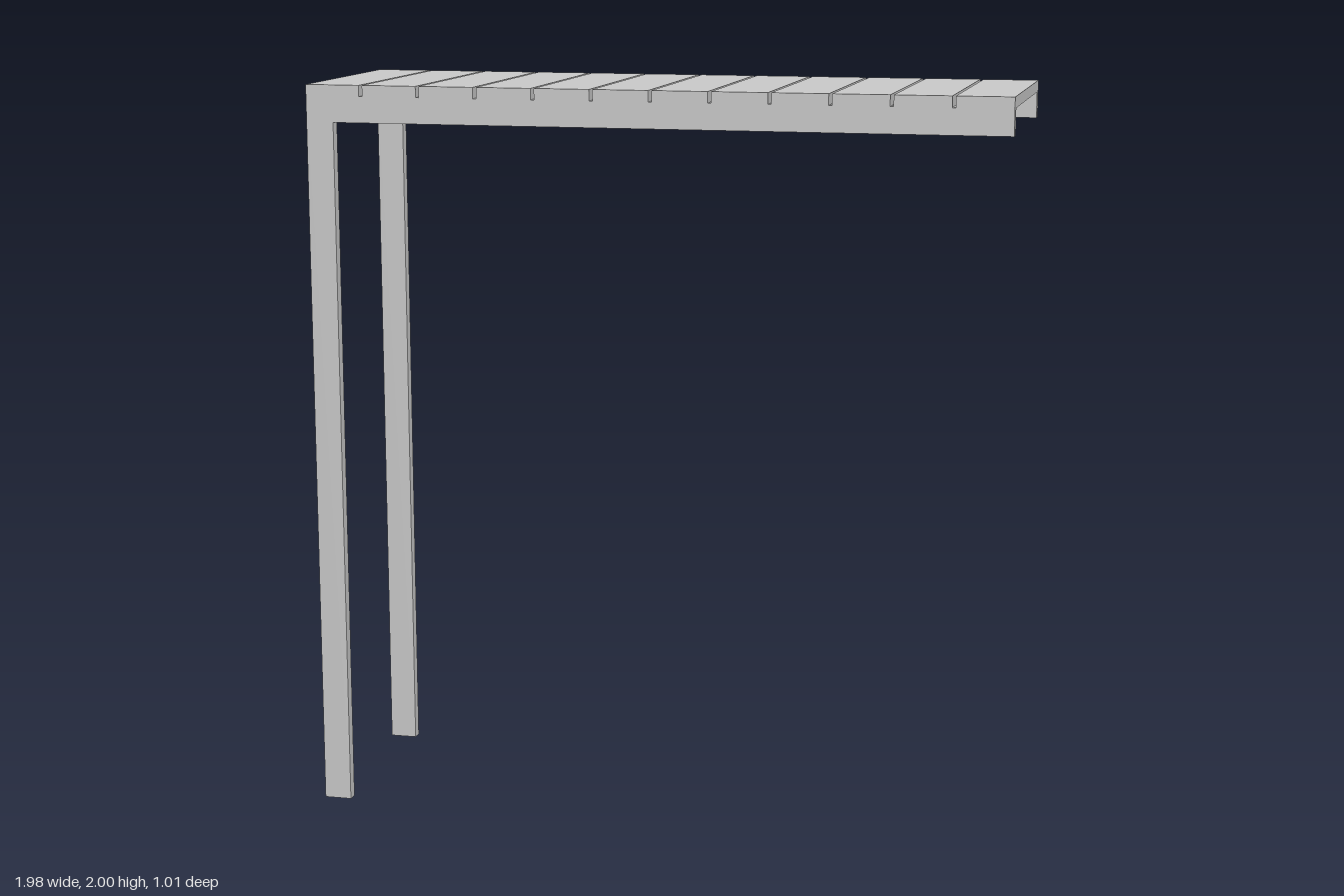
import * as THREE from 'three';

const LENGTH = 1.892, WIDTH = 0.6, HEIGHT = 2;
const PLANK_T = 0.03, PLANKS = 12, GAP = 0.009;
const FRAME_T = 0.03, RAIL_BOTTOM = 1.9, LEG_W = 0.075;

export function createModel() {
  const model = new THREE.Group();
  model.name = 'slattedTable';
  const material = new THREE.MeshStandardMaterial({ color: 0xcccccc, flatShading: true });

  // The whole table stands at a slight turn
  const table = new THREE.Group();
  table.name = 'table';
  table.rotation.y = -0.224;
  model.add(table);

  // Tabletop of crosswise planks with narrow open gaps
  const top = new THREE.Group();
  top.name = 'tabletop';
  table.add(top);
  const plankW = (LENGTH - GAP * (PLANKS - 1)) / PLANKS;
  const plankGeometry = new THREE.BoxGeometry(plankW, PLANK_T, WIDTH);
  for (let i = 0; i < PLANKS; i++) {
    const plank = new THREE.Mesh(plankGeometry, material);
    plank.name = `plank${i + 1}`;
    plank.position.set(-LENGTH / 2 + plankW / 2 + i * (plankW + GAP), HEIGHT - PLANK_T / 2, 0);
    top.add(plank);
  }

  // L-shaped side frames: one leg and a cantilevered rail
  const x0 = -LENGTH / 2, x1 = LENGTH / 2, railTop = HEIGHT - PLANK_T;
  const outline = new THREE.Shape([
    [x0, 0], [x0 + LEG_W, 0], [x0 + LEG_W, RAIL_BOTTOM],
    [x1, RAIL_BOTTOM], [x1, railTop], [x0, railTop],
  ].map(([x, y]) => new THREE.Vector2(x, y)));
  const frameGeometry = new THREE.ExtrudeGeometry(outline, { depth: FRAME_T, bevelEnabled: false });
  for (const [name, z] of [['frontLegAndRail', WIDTH / 2 - FRAME_T], ['backLegAndRail', -WIDTH / 2]]) {
    const frame = new THREE.Mesh(frameGeometry, material);
    frame.name = name;
    frame.position.z = z;
    table.add(frame);
  }

  return model;
}
